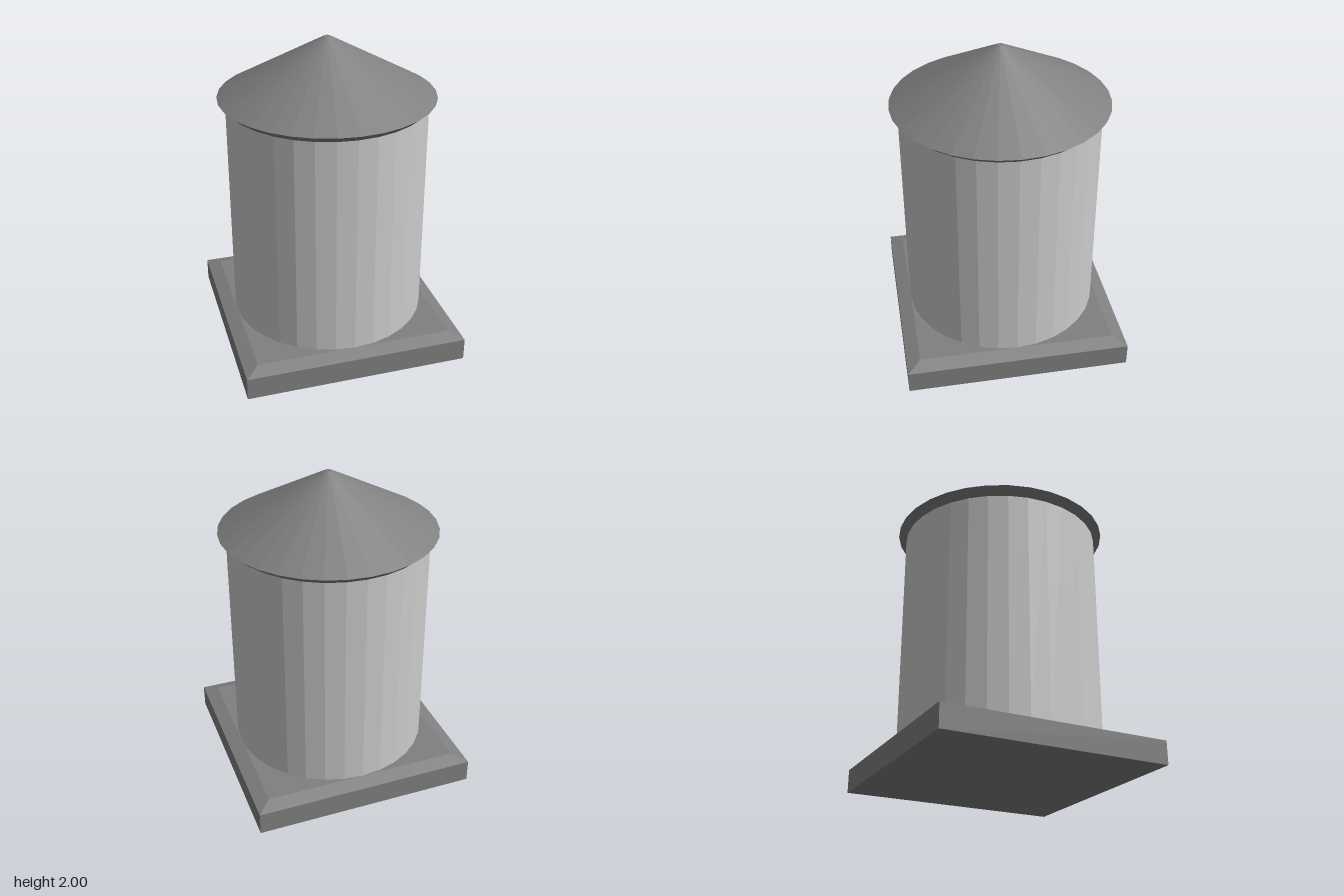
import * as THREE from 'three';

const SIDES = 32;

export function createModel() {
  const group = new THREE.Group();
  const light = new THREE.MeshStandardMaterial({ color: 0xcccccc, flatShading: true });
  const dark = new THREE.MeshStandardMaterial({ color: 0x808080, flatShading: true });

  const add = (name, geometry, material, y) => {
    const mesh = new THREE.Mesh(geometry, material);
    mesh.name = name;
    mesh.position.y = y;
    group.add(mesh);
  };

  // Square plinth slab
  add('plinth', new THREE.BoxGeometry(1.414, 0.145, 1.414), dark, 0.0725);

  // Bevelled top of the plinth: a four-sided frustum turned square to the axes
  const bevel = new THREE.CylinderGeometry(0.622 * Math.SQRT2, 0.707 * Math.SQRT2, 0.03, 4);
  bevel.rotateY(Math.PI / 4);
  add('plinthBevel', bevel, dark, 0.16);

  // Round drum
  add('drum', new THREE.CylinderGeometry(0.622, 0.622, 1.42, SIDES), light, 0.885);

  // Conical roof with an undercut eave and a tiny flat tip
  const profile = [[0, 1.592], [0.622, 1.592], [0.672, 1.635], [0.02, 2], [0, 2]]
    .map(([r, y]) => new THREE.Vector2(r, y));
  add('roof', new THREE.LatheGeometry(profile, SIDES), dark, 0);

  return group;
}
